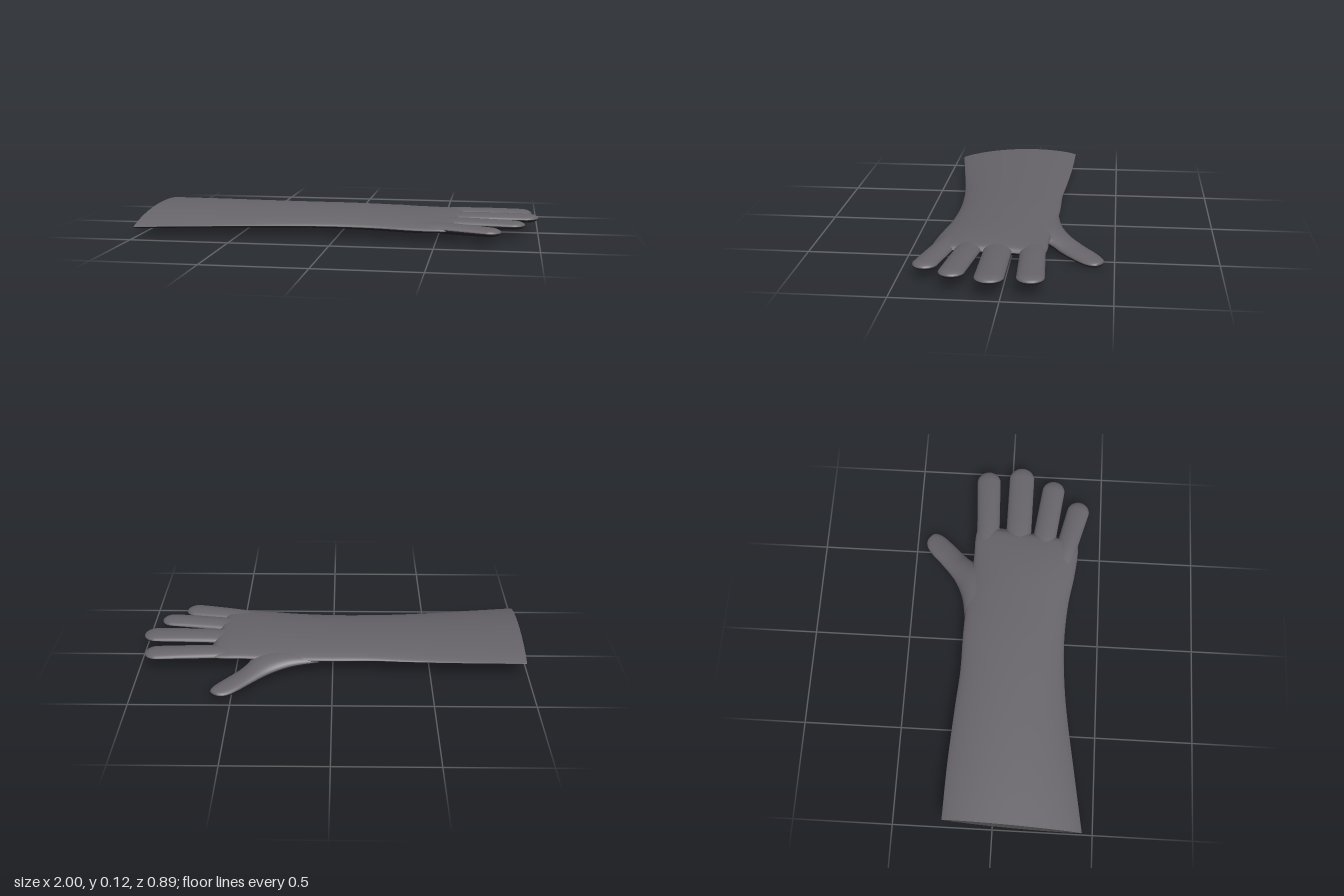
import * as THREE from 'three';

function material(name, color) {
  const m = new THREE.MeshStandardMaterial({ color, side: THREE.DoubleSide });
  m.name = name;
  return m;
}
const backOfHand = material('grey back', 0x67646a);
const palmSide = material('near black palm', 0x2e2d2e);

// Lofts a smooth tube through stations { a, b, top, bottom, p }:
// a and b are the side edges, top and bottom the bulge above and below them,
// p the edge sharpness (1 = ellipse, 2 = lens).
// The upper half is grey, the lower half near black.
function loft(name, stations, rings, sides = 48) {
  const smooth = pts => new THREE.CatmullRomCurve3(pts, false, 'catmullrom', 0.5);
  const A = smooth(stations.map(s => new THREE.Vector3(...s.a)));
  const B = smooth(stations.map(s => new THREE.Vector3(...s.b)));
  const F = smooth(stations.map(s => new THREE.Vector3(s.top, s.bottom, s.p)));
  const pos = [], upper = [], lower = [];
  for (let i = 0; i <= rings; i++) {
    const a = A.getPoint(i / rings), b = B.getPoint(i / rings), f = F.getPoint(i / rings);
    const mid = a.clone().add(b).multiplyScalar(0.5);
    const half = b.clone().sub(a).multiplyScalar(0.5);
    for (let j = 0; j < sides; j++) {
      const ang = (j / sides) * Math.PI * 2, s = Math.sin(ang);
      const bulge = Math.pow(Math.abs(s), f.z) * (s > 0 ? Math.max(f.x, 0) : -Math.max(f.y, 0));
      const v = mid.clone().addScaledVector(half, Math.cos(ang));
      pos.push(v.x, v.y + bulge, v.z);
      if (i < rings) {
        const k = (j + 1) % sides, r = i * sides, n = r + sides;
        (j < sides / 2 ? upper : lower).push(r + j, n + j, r + k, n + j, n + k, r + k);
      }
    }
  }
  const g = new THREE.BufferGeometry();
  g.setAttribute('position', new THREE.Float32BufferAttribute(pos, 3));
  g.setIndex([...upper, ...lower]);
  g.addGroup(0, upper.length, 0);
  g.addGroup(upper.length, lower.length, 1);
  g.computeVertexNormals();
  const mesh = new THREE.Mesh(g, [backOfHand, palmSide]);
  mesh.name = name;
  return mesh;
}

// Sleeve, wrist and palm: [xA, yA, zA, xB, yB, zB, topY, bottomY, p]
function makeBody() {
  const rows = [
    [-0.98, 0.098, -0.25, -1.0, 0.055, 0.445, 0.12, 0.027, 1.6],
    [-0.7, 0.095, -0.243, -0.7, 0.058, 0.397, 0.12, 0.030, 1.5],
    [-0.4, 0.09, -0.226, -0.4, 0.06, 0.35, 0.12, 0.035, 1.3],
    [-0.2, 0.088, -0.212, -0.2, 0.062, 0.329, 0.12, 0.039, 1.15],
    [0.0, 0.085, -0.212, 0.0, 0.063, 0.322, 0.12, 0.040, 1.05],
    [0.2, 0.082, -0.205, 0.2, 0.063, 0.335, 0.118, 0.035, 1],
    [0.35, 0.08, -0.19, 0.35, 0.062, 0.36, 0.116, 0.034, 1],
    [0.46, 0.08, -0.183, 0.45, 0.062, 0.373, 0.113, 0.038, 0.95],
    [0.55, 0.08, -0.183, 0.52, 0.063, 0.378, 0.108, 0.046, 0.85],
    [0.61, 0.08, -0.175, 0.565, 0.064, 0.372, 0.1, 0.056, 0.8],
    [0.64, 0.08, -0.15, 0.585, 0.066, 0.345, 0.078, 0.073, 0.8],
  ];
  return loft('sleeveAndPalm', rows.map(([xa, ya, za, xb, yb, zb, t, u, p]) => {
    const mid = (ya + yb) / 2;
    return { a: [xa, ya, za], b: [xb, yb, zb], top: t - mid, bottom: mid - u, p };
  }), 80, 64);
}

// Finger from a base [x, y, z] inside the palm to a rounded tip
function makeFinger(name, base, tip, wBase, wTip) {
  const from = new THREE.Vector3(...base), to = new THREE.Vector3(...tip);
  const len = from.distanceTo(to), dir = to.clone().sub(from).normalize();
  const side = new THREE.Vector3(-dir.z, 0, dir.x).normalize();
  const stations = [];
  const add = (d, w, h) => {
    const c = from.clone().addScaledVector(dir, d);
    stations.push({
      a: c.clone().addScaledVector(side, -w).toArray(),
      b: c.clone().addScaledVector(side, w).toArray(),
      top: h, bottom: h, p: 1,
    });
  };
  const body = len - wTip;
  for (const [t, h] of [[0, 0.019], [0.3, 0.025], [0.6, 0.025], [0.85, 0.023]]) {
    add(body * t, wBase + (wTip - wBase) * t, h);
  }
  for (let k = 0; k <= 6; k++) {
    const th = (k / 6) * Math.PI / 2, c = Math.max(Math.cos(th), 0.001);
    add(body + wTip * Math.sin(th), wTip * c, 0.021 * c);
  }
  return loft(name, stations, 44, 32);
}

// Thumb: [outer x, outer z, inner x, inner z, y, half height]
function makeThumb() {
  const rows = [
    [0.0, -0.195, 0.30, 0.0, 0.078, 0.026],
    [0.11, -0.212, 0.36, -0.08, 0.073, 0.032],
    [0.22, -0.234, 0.41, -0.15, 0.063, 0.035],
    [0.32, -0.28, 0.44, -0.2, 0.048, 0.034],
    [0.41, -0.352, 0.477, -0.24, 0.034, 0.029],
    [0.47, -0.408, 0.535, -0.298, 0.026, 0.025],
    [0.51, -0.438, 0.58, -0.348, 0.022, 0.021],
    [0.54, -0.449, 0.6, -0.382, 0.021, 0.017],
    [0.565, -0.447, 0.604, -0.41, 0.021, 0.011],
    [0.588, -0.433, 0.59, -0.431, 0.021, 0.001],
  ];
  return loft('thumb', rows.map(([ax, az, bx, bz, y, h]) => (
    { a: [ax, y, az], b: [bx, y, bz], top: h, bottom: h, p: 1 })), 60, 40);
}

export function createModel() {
  const glove = new THREE.Group();
  glove.name = 'longGlove';
  glove.add(
    makeBody(),
    makeThumb(),
    makeFinger('indexFinger', [0.45, 0.079, -0.108], [0.97, 0.08, -0.132], 0.06, 0.064),
    makeFinger('middleFinger', [0.45, 0.079, 0.05], [1.0, 0.087, 0.053], 0.068, 0.068),
    makeFinger('ringFinger', [0.45, 0.076, 0.175], [0.93, 0.08, 0.238], 0.063, 0.061),
    makeFinger('littleFinger', [0.42, 0.072, 0.285], [0.815, 0.066, 0.385], 0.055, 0.06),
  );
  return glove;
}
